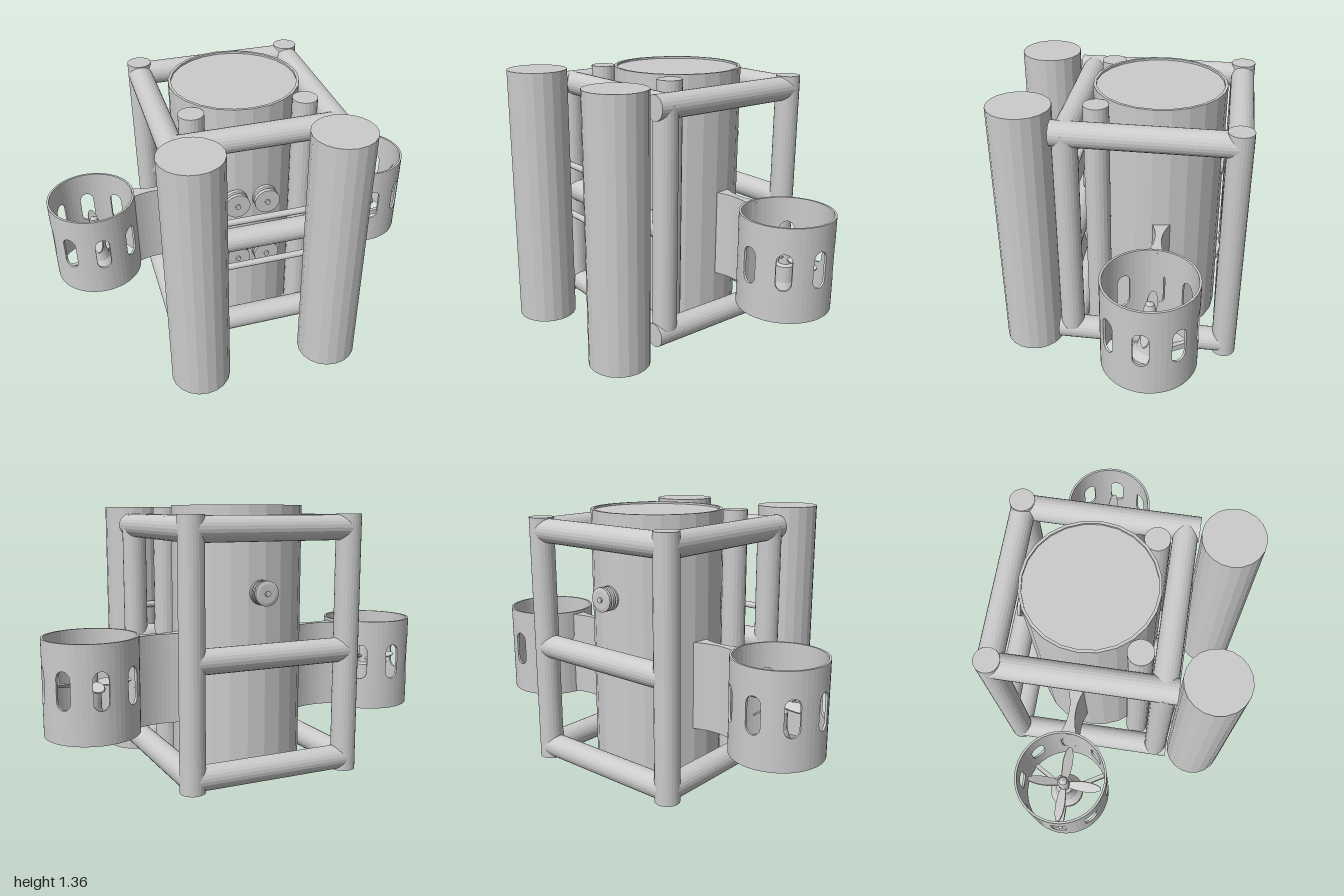
import * as THREE from 'three';

const mat = new THREE.MeshStandardMaterial({ color: 0xcccccc, flatShading: true });
const V = (x, y, z) => new THREE.Vector3(x, y, z);
const lathe = (pts, n = 24) => new THREE.LatheGeometry(pts.map(p => new THREE.Vector2(p[0], p[1])), n);

function add(parent, name, geometry) {
  const mesh = new THREE.Mesh(geometry, mat);
  mesh.name = name;
  parent.add(mesh);
  return mesh;
}

// Round bar between two points
function bar(parent, name, a, b, r, sides = 24) {
  const dir = b.clone().sub(a);
  const mesh = add(parent, name, new THREE.CylinderGeometry(r, r, dir.length(), sides));
  mesh.position.copy(a).add(b).multiplyScalar(0.5);
  mesh.quaternion.setFromUnitVectors(V(0, 1, 0), dir.normalize());
  return mesh;
}

// Thin-walled duct with eight upright round-ended slots
function ductGeometry(offset) {
  const R = 0.227, r = 0.216, y0 = 0.3, y1 = 0.765, mid = 0.55, w = 0.0375, straight = 0.0525;
  const h = w / R, pos = [];
  const P = (rad, a, y) => [rad * Math.sin(a), y, rad * Math.cos(a)];
  const quad = (a, b, c, d) => pos.push(...a, ...b, ...c, ...a, ...c, ...d);
  // one column of wall from angle a to b, with its own bottom and top heights at each side
  const wall = (a, b, la, lb, ta, tb) => {
    quad(P(R, a, la), P(R, b, lb), P(R, b, tb), P(R, a, ta));
    quad(P(r, b, lb), P(r, a, la), P(r, a, ta), P(r, b, tb));
    quad(P(R, a, ta), P(R, b, tb), P(r, b, tb), P(r, a, ta));
    quad(P(r, a, la), P(r, b, lb), P(R, b, lb), P(R, a, la));
  };
  const edge = u => straight + Math.sqrt(Math.max(0, w * w - u * u * R * R));
  const slot = Array.from({ length: 9 }, (_, i) => -h * Math.cos(i * Math.PI / 8));
  const us = [-Math.PI / 8, -0.28, ...slot, 0.28, Math.PI / 8];
  for (let k = 0; k < 8; k++) {
    const c = k * Math.PI / 4 + offset;
    for (let i = 0; i < us.length - 1; i++) {
      const u = us[i], v = us[i + 1], a = c + u, b = c + v;
      if (Math.abs(u + v) / 2 < h) {
        wall(a, b, y0, y0, mid - edge(u), mid - edge(v));
        wall(a, b, mid + edge(u), mid + edge(v), y1, y1);
      } else wall(a, b, y0, y0, y1, y1);
    }
    // straight sides of the slot
    const lo = mid - straight, hi = mid + straight;
    quad(P(R, c - h, lo), P(r, c - h, lo), P(r, c - h, hi), P(R, c - h, hi));
    quad(P(r, c + h, lo), P(R, c + h, lo), P(R, c + h, hi), P(r, c + h, hi));
  }
  const g = new THREE.BufferGeometry();
  g.setAttribute('position', new THREE.Float32BufferAttribute(pos, 3));
  g.computeVertexNormals();
  return g;
}

function thruster(side) {
  const g = new THREE.Group();
  g.name = side > 0 ? 'leftThruster' : 'rightThruster';
  add(g, 'duct', ductGeometry(-side * 0.06));
  // motor pod and its three struts
  add(g, 'motor', lathe([[0, 0.295], [0.055, 0.295], [0.088, 0.305], [0.088, 0.34], [0.06, 0.37],
    [0.045, 0.42], [0.045, 0.5], [0.03, 0.51], [0.03, 0.59], [0.02, 0.625], [0, 0.635]], 20));
  for (const a of [0, 2 * Math.PI / 3, -2 * Math.PI / 3]) {
    const strut = add(g, 'strut', new THREE.BoxGeometry(0.15, 0.03, 0.022).translate(0.145, 0.32, 0));
    strut.rotation.y = a;
  }
  // four pitched propeller blades
  const s = new THREE.Shape();
  s.moveTo(0.015, -0.012);
  s.bezierCurveTo(0.08, -0.035, 0.16, -0.032, 0.192, -0.008);
  s.lineTo(0.192, 0.008);
  s.bezierCurveTo(0.16, 0.032, 0.08, 0.035, 0.015, 0.012);
  const blade = new THREE.ExtrudeGeometry(s, { depth: 0.007, bevelEnabled: false, curveSegments: 8 });
  blade.translate(0, 0, -0.0035).rotateX(-Math.PI / 2 + 0.5);
  for (let i = 0; i < 4; i++) {
    const m = add(g, 'propellerBlade', blade);
    m.position.y = 0.54;
    m.rotation.y = i * Math.PI / 2;
  }
  // waisted mounting fin reaching in to the hull
  const f = new THREE.Shape();
  f.moveTo(-0.46, -0.045);
  f.quadraticCurveTo(-0.34, 0.01, -0.215, -0.042);
  f.lineTo(-0.215, 0.042);
  f.quadraticCurveTo(-0.34, -0.01, -0.46, 0.045);
  const fin = new THREE.ExtrudeGeometry(f, { depth: 0.445, bevelEnabled: false, curveSegments: 10 });
  add(g, 'mountingFin', fin.rotateX(-Math.PI / 2)).position.y = 0.305;
  g.position.set(side * 0.772, 0, -0.205);
  if (side < 0) g.rotation.y = Math.PI;
  return g;
}

export function createModel() {
  const model = new THREE.Group();
  model.name = 'underwaterVehicle';

  // Main pressure hull with a shallow rim around its lid
  add(model, 'hull', lathe([[0, 0.065], [0.326, 0.065], [0.326, 1.365], [0.312, 1.365], [0.312, 1.355], [0, 1.355]]))
    .position.z = -0.158;

  // Tubular frame
  const X = 0.406, F = 0.237, B = -0.555, T = 0.061;
  for (const x of [-X, X]) {
    bar(model, 'backPost', V(x, 0.065, B), V(x, 1.325, B), T);
    bar(model, 'frontPost', V(x, 0.15, F), V(x, 1.27, F), T);
    for (const y of [0.125, 1.26]) bar(model, 'sideRail', V(x, y, B), V(x, y, 0.302), T);
  }
  for (const y of [0.125, 0.67, 1.26]) {
    bar(model, 'frontRail', V(-X, y, F), V(X, y, F), T - 0.001);
    bar(model, 'backRail', V(-X, y, B), V(X, y, B), T - 0.001);
  }

  // Large front tanks
  for (const x of [-0.366, 0.336])
    bar(model, 'frontTank', V(x, 0.005, 0.462), V(x, 1.356, 0.462), 0.153, 20);

  // Slim ballast tubes with domed feet
  const dome = [];
  for (let i = 0; i <= 8; i++) {
    const a = i * Math.PI / 16;
    dome.push([0.062 * Math.sin(a), 0.064 - 0.062 * Math.cos(a)]);
  }
  for (const x of [-0.282, 0.278])
    add(model, 'ballastTube', lathe([...dome, [0.062, 1.355], [0, 1.355]], 20)).position.set(x, 0, 0.112);

  // Thin rods tying the front tanks together
  for (const y of [0.83, 0.55])
    bar(model, 'tieRod', V(-0.37, y, 0.3), V(0.34, y, 0.3), 0.017, 12);

  // Front lamps, each with a small centre stud
  const lamp = lathe([[0, 0], [0.05, 0], [0.05, 0.06], [0.065, 0.07], [0.065, 0.09], [0.055, 0.095],
    [0.055, 0.1], [0.065, 0.105], [0.065, 0.125], [0.013, 0.125], [0.013, 0.135], [0, 0.135]]).rotateX(Math.PI / 2);
  for (const x of [-0.088, 0.066])
    for (const y of [0.855, 0.523]) add(model, 'lamp', lamp).position.set(x, y, 0.09);

  // Grooved connector on the back of the hull
  const plug = [[0, 0], [0.045, 0]];
  for (const y of [0.02, 0.045, 0.07]) plug.push([0.045, y], [0.06, y + 0.004], [0.06, y + 0.018], [0.045, y + 0.022]);
  plug.push([0.014, 0.092], [0.014, 0.1], [0, 0.1]);
  add(model, 'backConnector', lathe(plug).rotateX(-Math.PI / 2)).position.set(0.02, 0.96, -0.45);

  for (const side of [1, -1]) model.add(thruster(side));
  return model;
}
